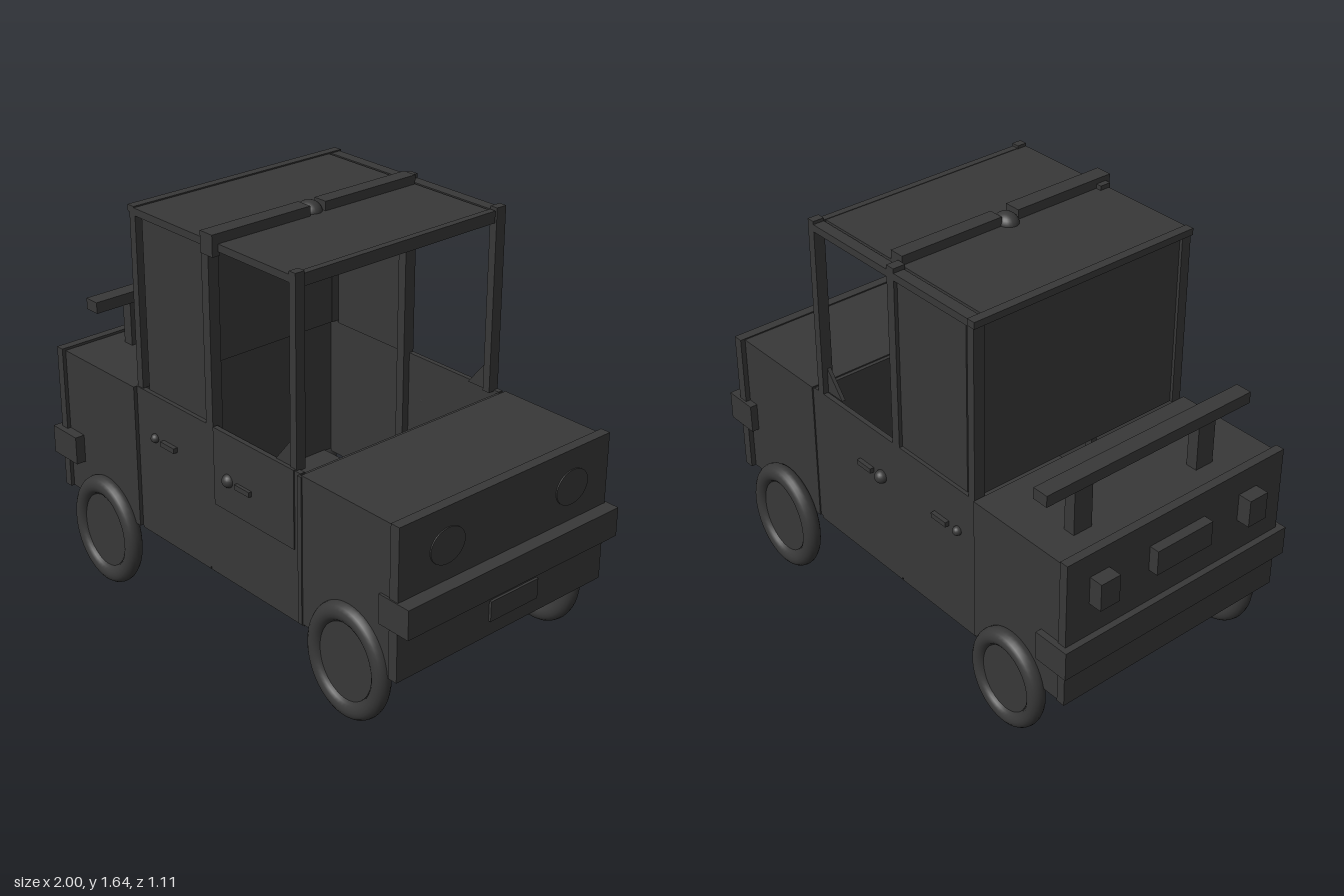
import * as THREE from 'three';

const paint = new THREE.MeshStandardMaterial({ color: 0x383838 });
const paintThin = new THREE.MeshStandardMaterial({ color: 0x383838, side: THREE.DoubleSide });

export function createModel() {
  const model = new THREE.Group();

  const add = (name, geometry, x = 0, y = 0, z = 0, material = paint) => {
    const mesh = new THREE.Mesh(geometry, material);
    mesh.name = name;
    mesh.position.set(x, y, z);
    model.add(mesh);
    return mesh;
  };
  // Box given by its extents along each axis
  const box = (name, x0, x1, y0, y1, z0, z1) =>
    add(name, new THREE.BoxGeometry(x1 - x0, y1 - y0, z1 - z0),
      (x0 + x1) / 2, (y0 + y1) / 2, (z0 + z1) / 2);

  // Engine bay and trunk
  box('hoodBody', 0.46, 0.91, 0.32, 0.905, -0.49, 0.5);
  box('nosePanel', 0.9, 0.94, 0.32, 0.91, -0.51, 0.505);
  box('hoodRearSeam', 0.445, 0.465, 0.32, 0.9, -0.485, 0.505);
  box('trunkBody', -0.93, -0.47, 0.32, 0.905, -0.49, 0.51);
  box('tailPanel', -0.945, -0.91, 0.32, 0.915, -0.495, 0.525);

  // Open passenger tub
  box('floor', -0.47, 0.46, 0.305, 0.325, -0.43, 0.49);
  for (const [side, z0, z1] of [['left', 0.475, 0.495], ['right', -0.485, -0.465]]) {
    box(side + 'RearDoor', -0.47, -0.055, 0.31, 0.905, z0, z1);
    box(side + 'FrontDoor', -0.05, 0.45, 0.31, 0.905, z0, z1);
  }
  box('frontDoorInset', -0.015, 0.42, 0.6, 0.908, 0.48, 0.5);

  // Cab pillars, quarter panels and roof rails on both sides
  for (const [z0, z1] of [[0.45, 0.49], [-0.485, -0.44]]) {
    const zm = (z0 + z1) / 2;
    box('rearPillar', -0.47, -0.438, 0.905, 1.59, z0, z1);
    box('middlePillar', -0.058, -0.02, 0.32, 1.62, z0, z1 + 0.005);
    box('windshieldPillar', 0.393, 0.425, 0.9, 1.615, z0, z1);
    box('quarterPanel', -0.415, -0.055, 0.905, 1.585, zm - 0.008, zm + 0.008);
    box('roofRail', -0.47, 0.42, 1.575, 1.603, z0, z1);
    // Corner gusset at the foot of the windshield pillar
    const tri = new THREE.Shape([
      new THREE.Vector2(0.31, 0.905), new THREE.Vector2(0.42, 0.905), new THREE.Vector2(0.42, 1.04)]);
    add('pillarGusset', new THREE.ExtrudeGeometry(tri, { depth: 0.015, bevelEnabled: false }), 0, 0, zm);
  }
  box('backWall', -0.458, -0.44, 0.905, 1.585, -0.44, 0.455);
  box('roof', -0.45, 0.42, 1.585, 1.603, -0.43, 0.47);
  box('rearRoofHeader', -0.48, -0.445, 1.582, 1.608, -0.49, 0.49);
  box('windshieldHeader', 0.395, 0.422, 1.56, 1.605, -0.435, 0.48);

  // Roof cross bar with a round lamp
  box('roofBarLeft', -0.035, 0.03, 1.6, 1.64, 0.08, 0.5);
  box('roofBarRight', -0.035, 0.025, 1.6, 1.638, -0.43, 0.005);
  box('roofBarEnd', -0.035, 0.03, 1.56, 1.64, 0.485, 0.515);
  add('roofLamp', new THREE.SphereGeometry(1, 24, 16), -0.02, 1.6, 0.04).scale.set(0.05, 0.04, 0.042);

  // Bumpers and plates
  box('frontBumper', 0.855, 0.995, 0.515, 0.63, -0.52, 0.51);
  box('rearBumper', -0.97, -0.82, 0.46, 0.575, -0.515, 0.55);
  box('frontPlate', 0.93, 0.95, 0.38, 0.46, -0.165, 0.07);
  box('rearPlate', -0.985, -0.93, 0.71, 0.81, -0.12, 0.14);

  // Lights
  for (const z of [-0.35, 0.352])
    box('tailLight', -1, -0.93, 0.71, 0.82, z - 0.043, z + 0.043);
  for (const z of [-0.322, 0.285]) {
    const lamp = add('headlight', new THREE.CylinderGeometry(1, 1, 0.03, 40), 0.93, 0.763, z);
    lamp.rotation.z = -Math.PI / 2;
    lamp.scale.set(0.068, 1, 0.08);
  }

  // Spoiler on two posts
  box('spoilerBar', -0.835, -0.77, 1.085, 1.13, -0.49, 0.45);
  for (const z of [-0.32, 0.25])
    box('spoilerPost', -0.827, -0.78, 0.9, 1.09, z - 0.04, z + 0.04);

  // Door knobs and pull handles
  for (const [z, shift] of [[0.497, 0], [-0.49, -0.015]]) {
    for (const [x, y, r] of [[-0.365, 0.73, 0.018], [0.065, 0.725, 0.026]]) {
      add('doorKnob', new THREE.SphereGeometry(r, 18, 12), x + shift, y, z);
      const hx = x + shift + 0.09;
      box('doorHandle', hx - 0.04, hx + 0.04, y - 0.01, y + 0.01, z - 0.012, z + 0.016);
    }
  }

  // Oval wheels: tyre ring and flat hub, [x, y, z, half width, half height]
  const wheels = [
    ['frontLeftWheel', 0.7, 0.29, 0.498, 0.195, 0.225],
    ['rearLeftWheel', -0.67, 0.226, 0.52, 0.195, 0.226],
    ['frontRightWheel', 0.642, 0.233, -0.522, 0.195, 0.225],
    ['rearRightWheel', -0.672, 0.27, -0.505, 0.175, 0.2],
  ];
  for (const [name, x, y, z, rx, ry] of wheels) {
    const wheel = new THREE.Group();
    wheel.name = name;
    const tyre = new THREE.Mesh(new THREE.TorusGeometry(0.83, 0.17, 16, 48), paint);
    tyre.name = 'tyre';
    tyre.scale.set(rx, ry, 0.21);
    const hub = new THREE.Mesh(new THREE.CylinderGeometry(0.67, 0.67, 0.03, 40), paintThin);
    hub.name = 'hub';
    hub.rotation.x = Math.PI / 2;
    hub.scale.set(rx, 1, ry);
    wheel.add(tyre, hub);
    wheel.position.set(x, y, z);
    model.add(wheel);
  }

  return model;
}
